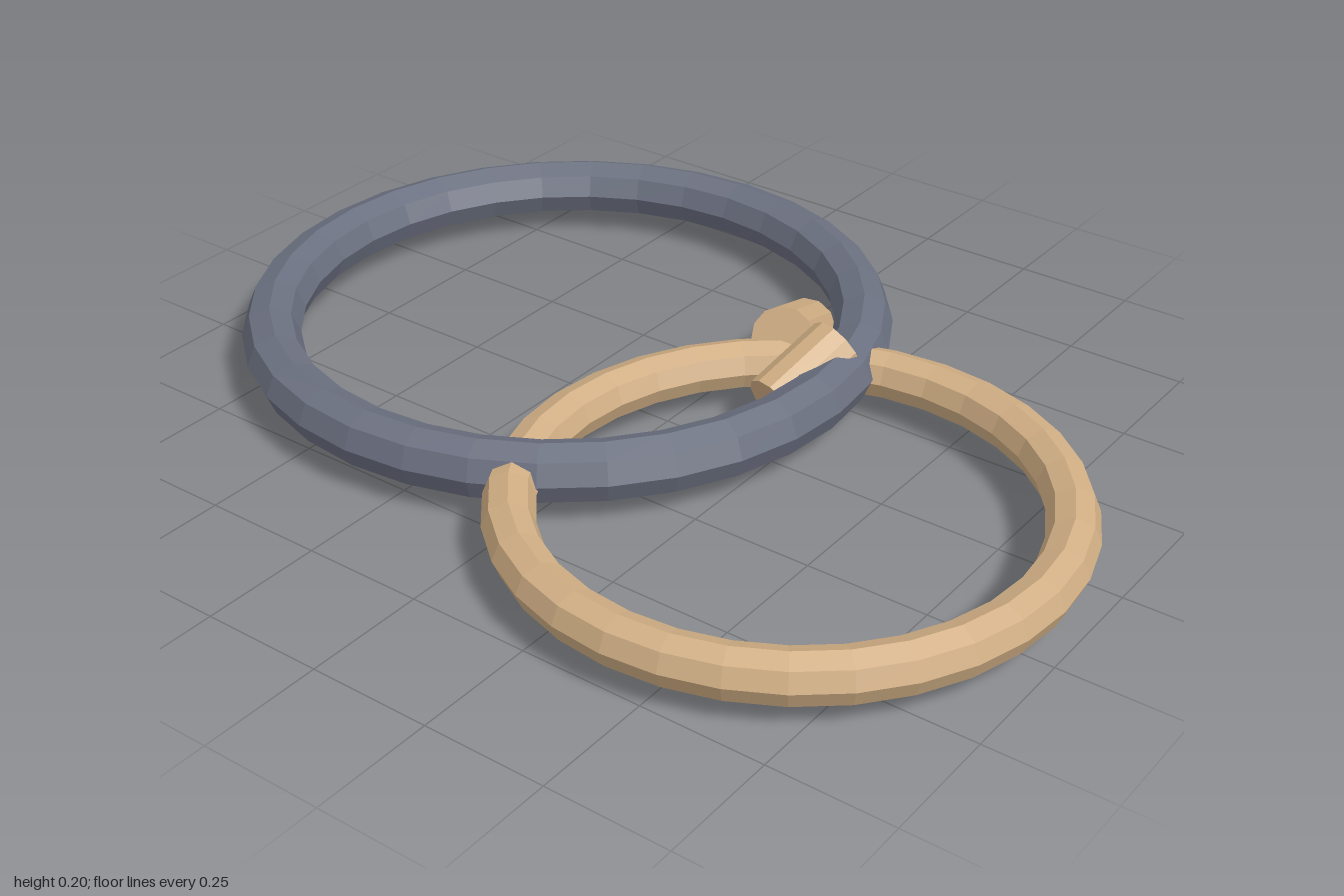
import * as THREE from 'three';

export function createModel() {
  const model = new THREE.Group();
  const steel = new THREE.MeshStandardMaterial({ color: 0x6b7080, flatShading: true });
  steel.name = 'steelGrey';
  const brass = new THREE.MeshStandardMaterial({ color: 0xd0ae84, flatShading: true });
  brass.name = 'paleBrass';

  // Flat-lying ring with an octagonal section
  function addRing(name, material, outer, tube, x, y, z) {
    const geometry = new THREE.TorusGeometry(outer - tube, tube, 8, 32).rotateX(-Math.PI / 2);
    const ring = new THREE.Mesh(geometry, material);
    ring.name = name;
    ring.position.set(x, y, z);
    model.add(ring);
  }

  // Short peg running between two points
  function addPeg(name, material, radius, from, to) {
    const a = new THREE.Vector3(...from);
    const b = new THREE.Vector3(...to);
    const axis = b.clone().sub(a);
    const peg = new THREE.Mesh(new THREE.CylinderGeometry(radius, radius, axis.length(), 12), material);
    peg.name = name;
    peg.position.copy(a).add(b).multiplyScalar(0.5);
    peg.quaternion.setFromUnitVectors(new THREE.Vector3(0, 1, 0), axis.normalize());
    model.add(peg);
  }

  // Interlocked rings
  addRing('largeRing', steel, 0.67, 0.06, -0.33, 0.097, -0.1);
  addRing('smallRing', brass, 0.56, 0.05, 0.43, 0.089, 0.208);

  // Pair of pegs leaning together over the joint
  addPeg('rearPeg', brass, 0.064, [0.066, 0.06, -0.392], [0.132, 0.144, -0.205]);
  addPeg('frontPeg', brass, 0.064, [0.195, 0.068, -0.085], [0.235, 0.14, -0.245]);

  return model;
}
